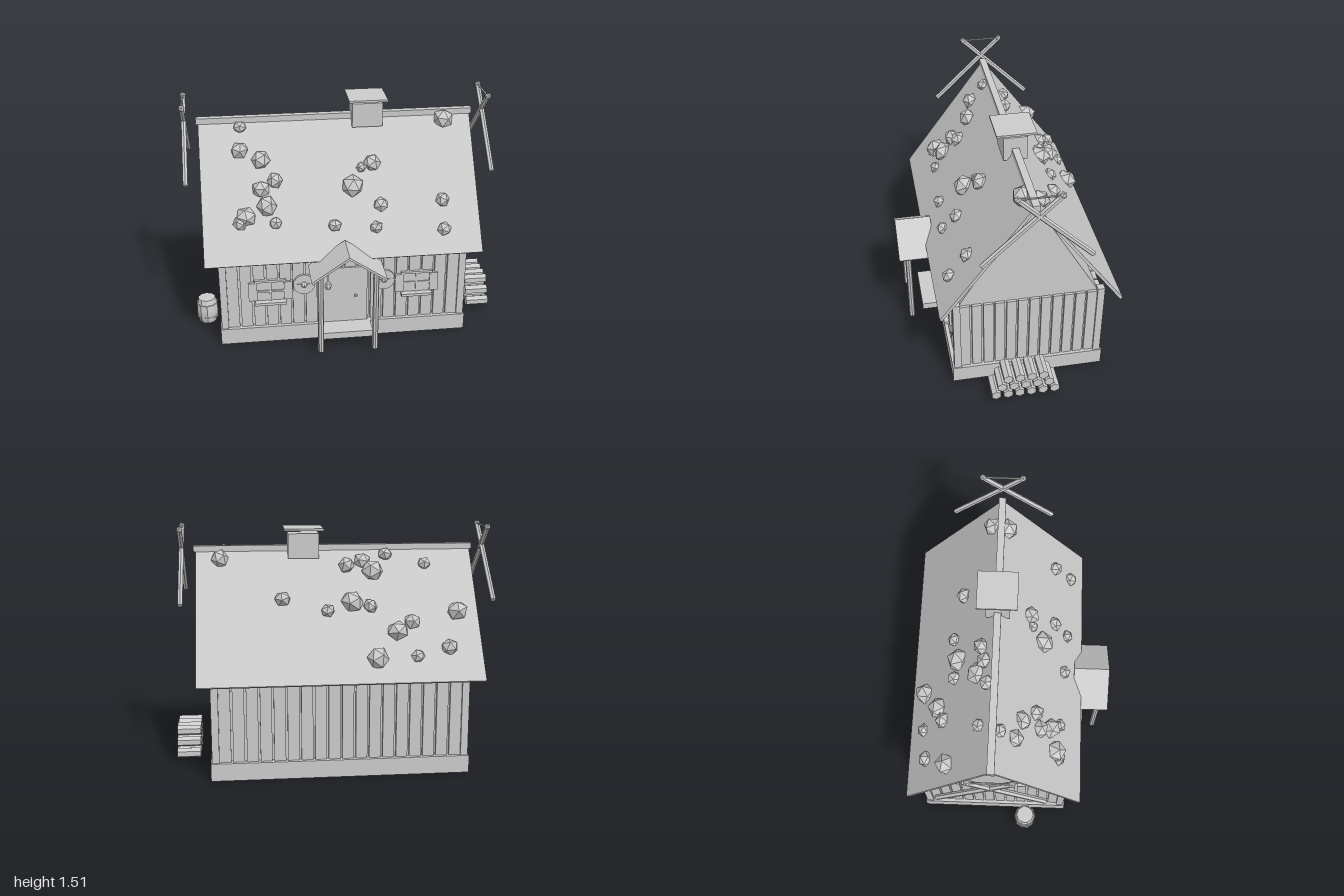
import * as THREE from 'three';

export function createModel() {
  const model = new THREE.Group();
  const house = new THREE.Group();
  house.name = 'house';
  house.position.set(-0.02, 0, -0.09); // all parts are laid out around the ridge line
  model.add(house);

  const mat = new THREE.MeshStandardMaterial({ color: 0xcccccc, flatShading: true });
  const add = (name, geo, x = 0, y = 0, z = 0, parent = house) => {
    const m = new THREE.Mesh(geo, mat);
    m.name = name;
    m.position.set(x, y, z);
    parent.add(m);
    return m;
  };
  // box given by its limits on each axis
  const box = (name, x0, x1, y0, y1, z0, z1, parent) =>
    add(name, new THREE.BoxGeometry(x1 - x0, y1 - y0, z1 - z0), (x0 + x1) / 2, (y0 + y1) / 2, (z0 + z1) / 2, parent);
  // round bar between two points
  const rod = (name, a, b, r, sides, parent) => {
    const p = new THREE.Vector3(...a), d = new THREE.Vector3(...b).sub(p);
    const m = add(name, new THREE.CylinderGeometry(r, r, d.length(), sides), 0, 0, 0, parent);
    m.position.copy(p).addScaledVector(d, 0.5);
    m.quaternion.setFromUnitVectors(new THREE.Vector3(0, 1, 0), d.normalize());
    return m;
  };

  // Foundation and wall core
  box('foundation', -0.797, 0.797, 0, 0.11, -0.48, 0.48);
  box('wallCore', -0.755, 0.755, 0.11, 0.602, -0.435, 0.435);

  // Vertical planks with narrow gaps
  const planks = new THREE.Group();
  planks.name = 'wallPlanks';
  house.add(planks);
  const gap = 0.006;
  for (const s of [-1, 1]) {
    const nx = 18, wx = 1.5 / nx, nz = 12, wz = 0.86 / nz;
    for (let i = 0; i < nx; i++) {
      const x = -0.75 + i * wx;
      box('plank', x + gap, x + wx - gap, 0.11, 0.602, s * 0.445 - 0.012, s * 0.445 + 0.012, planks);
    }
    for (let i = 0; i < nz; i++) {
      const z = -0.43 + i * wz;
      box('sidePlank', s * 0.765 - 0.012, s * 0.765 + 0.012, 0.11, 0.602, z + gap, z + wz - gap, planks);
    }
    for (const t of [-1, 1])
      add('cornerPost', new THREE.BoxGeometry(0.045, 0.517, 0.045), s * 0.767, 0.3685, t * 0.447);
  }

  // Gable prism filling the attic
  const tri = new THREE.Shape([[-0.43, 0.602], [0.43, 0.602], [0, 1.335]].map(p => new THREE.Vector2(...p)));
  const gable = new THREE.ExtrudeGeometry(tri, { depth: 1.52, bevelEnabled: false });
  gable.rotateY(Math.PI / 2).translate(-0.76, 0, 0);
  add('gable', gable);

  // Main roof slabs and ridge beam
  const eave = { z: 0.55, y: 0.605 }, ridgeY = 1.355;
  const rise = ridgeY - eave.y, slope = Math.atan2(rise, eave.z), len = Math.hypot(rise, eave.z);
  for (const s of [-1, 1]) {
    const slab = add('roofSlab', new THREE.BoxGeometry(1.74, 0.018, len), 0, (ridgeY + eave.y) / 2, s * eave.z / 2);
    slab.rotation.x = s * slope;
  }
  box('ridgeBeam', -0.883, 0.883, 1.343, 1.38, -0.022, 0.022);

  // Smoke vent with a floating cap
  box('ventBox', 0.1, 0.295, 1.3, 1.455, -0.074, 0.074);
  box('ventCap', 0.075, 0.32, 1.477, 1.49, -0.125, 0.12);

  // Crossed gable poles with knobs
  for (const x of [-0.957, 0.957]) for (const s of [-1, 1]) {
    rod('gablePole', [x, 1.49, s * 0.125], [x, 1.06, -s * 0.32], 0.017, 6);
    add('poleKnob', new THREE.IcosahedronGeometry(0.022, 0), x, 1.49, s * 0.125);
  }
  for (const x of [-0.957, 0.957]) rod('poleTie', [x, 1.49, -0.125], [x, 1.49, 0.125], 0.006, 6);

  // Moss clumps on the roof: x, z, radius
  const clumps = [
    [-0.61, 0.04, 0.045], [-0.62, 0.13, 0.06], [-0.49, 0.17, 0.063], [-0.41, 0.25, 0.055], [-0.5, 0.28, 0.06],
    [-0.6, 0.38, 0.07], [-0.47, 0.345, 0.072], [-0.64, 0.405, 0.048], [-0.42, 0.41, 0.043], [-0.055, 0.43, 0.047],
    [0.075, 0.285, 0.075], [0.21, 0.2, 0.06], [0.14, 0.215, 0.038], [0.245, 0.36, 0.05], [0.205, 0.445, 0.045],
    [0.64, 0.355, 0.05], [0.635, 0.465, 0.048], [0.695, 0.04, 0.068],
    [-0.665, -0.43, 0.055], [-0.74, -0.285, 0.072], [-0.465, -0.46, 0.045], [-0.22, -0.465, 0.075],
    [-0.355, -0.36, 0.072], [-0.45, -0.325, 0.055], [-0.2, -0.26, 0.05], [-0.09, -0.24, 0.077],
    [0.065, -0.275, 0.047], [0.34, -0.225, 0.055], [-0.565, -0.085, 0.045], [-0.23, -0.115, 0.072],
    [-0.07, -0.09, 0.058], [-0.17, -0.07, 0.055], [-0.32, -0.045, 0.05], [0.72, -0.055, 0.062],
  ];
  clumps.forEach(([x, z, r], i) => {
    const y = ridgeY - Math.abs(z) * rise / eave.z + 0.022;
    const m = add('mossClump', new THREE.IcosahedronGeometry(r, 0), x, y, z);
    m.rotation.set(i * 1.3, i * 2.1, i * 0.7);
    m.scale.y = 0.88;
  });

  // Door, handle and step
  box('door', -0.15, 0.15, 0.11, 0.505, 0.44, 0.466);
  add('doorHandle', new THREE.IcosahedronGeometry(0.01, 1), 0.075, 0.3, 0.472);
  box('doorStep', -0.17, 0.17, 0.065, 0.11, 0.46, 0.6);

  // Porch: gabled canopy, two posts and a hanging lantern
  const canopy = new THREE.Shape([[0, 0.722], [0.232, 0.562], [0.224, 0.55], [0, 0.706], [-0.224, 0.55], [-0.232, 0.562]]
    .map(p => new THREE.Vector2(...p)));
  add('porchRoof', new THREE.ExtrudeGeometry(canopy, { depth: 0.232, bevelEnabled: false }), 0, 0, 0.504);
  for (const s of [-1, 1]) rod('porchPost', [s * 0.172, 0.03, 0.676], [s * 0.172, 0.58, 0.676], 0.019, 8);
  const lantern = add('lantern', new THREE.SphereGeometry(0.022, 6, 4), -0.125, 0.505, 0.676);
  lantern.scale.y = 1.35;
  rod('lanternCord', [-0.125, 0.53, 0.676], [-0.125, 0.62, 0.676], 0.003, 5);

  // Windows with shutters, and round shields beside the door
  for (const s of [-1, 1]) {
    const w = new THREE.Group();
    w.name = 'window';
    w.position.x = s * 0.47;
    house.add(w);
    box('pane', -0.085, 0.085, 0.3, 0.435, 0.44, 0.462, w);
    box('lintel', -0.1, 0.1, 0.435, 0.45, 0.44, 0.475, w);
    box('sill', -0.1, 0.1, 0.282, 0.3, 0.44, 0.5, w);
    box('mullion', -0.006, 0.006, 0.3, 0.435, 0.455, 0.47, w);
    box('transom', -0.085, 0.085, 0.362, 0.374, 0.455, 0.47, w);
    for (const t of [-1, 1]) box('shutter', t * 0.1125 - 0.0275, t * 0.1125 + 0.0275, 0.305, 0.432, 0.445, 0.472, w);

    const x = s * 0.257;
    add('shield', new THREE.CylinderGeometry(0.07, 0.07, 0.016, 16), x, 0.408, 0.472).rotation.x = Math.PI / 2;
    box('shieldBar', x - 0.068, x + 0.068, 0.402, 0.414, 0.475, 0.484);
    add('shieldBoss', new THREE.SphereGeometry(0.02, 8, 6), x, 0.408, 0.48);
  }

  // Barrel with two hoops
  const barrel = new THREE.Group();
  barrel.name = 'barrel';
  barrel.position.set(-0.885, 0.03, 0.21);
  house.add(barrel);
  const profile = [[0, 0], [0.056, 0], [0.068, 0.045], [0.071, 0.085], [0.068, 0.125], [0.056, 0.17], [0, 0.17]];
  add('barrelBody', new THREE.LatheGeometry(profile.map(p => new THREE.Vector2(...p)), 10), 0, 0, 0, barrel);
  for (const y of [0.04, 0.13]) add('barrelHoop', new THREE.CylinderGeometry(0.071, 0.071, 0.012, 10), 0, y, 0, barrel);

  // Stacked hexagonal firewood
  for (let row = 0; row < 3; row++) for (let i = 0; i < 6 - row; i++) {
    const log = new THREE.CylinderGeometry(0.032, 0.032, 0.15, 6);
    log.rotateZ(Math.PI / 2);
    // turn so that a corner points up
    log.rotateX(Math.PI / 2);
    add('firewoodLog', log, 0.945, 0.062 + row * 0.0637, 0.06 + (i - (5 - row) / 2) * 0.0735);
  }
  return model;
}
